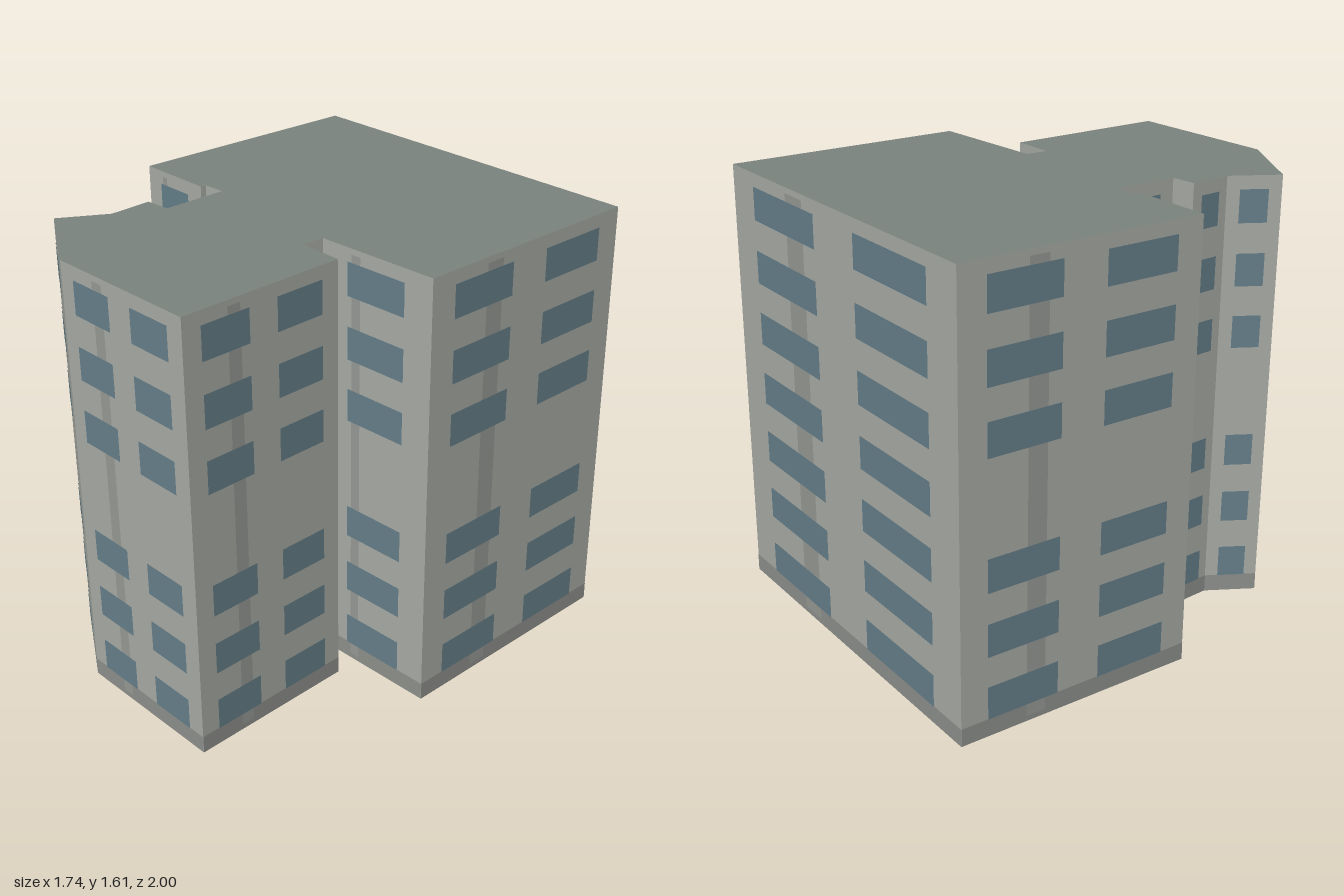
import * as THREE from 'three';

const HEIGHT = 1.61;

// Footprint corners [x, z], clockwise seen from above
const FOOTPRINT = [
  [-0.42, -1.0], [0.87, -0.37], [0.48, 0.46], [0.04, 0.27], [0.0, 0.345], [0.15, 0.42],
  [-0.11, 1.0], [-0.66, 0.745], [-0.87, 0.43], [-0.71, 0.32], [-0.65, 0.17], [-0.56, 0.205],
  [-0.46, -0.02], [-0.54, -0.055], [-0.55, -0.035], [-0.825, -0.17],
];

const paint = (color, side = THREE.FrontSide) =>
  new THREE.MeshStandardMaterial({ color, side });

export function createModel() {
  const building = new THREE.Group();
  building.name = 'apartmentBlock';

  const wallPaint = paint(0xa9aca6, THREE.DoubleSide);
  const roofPaint = paint(0x7c8480, THREE.DoubleSide);
  const plinthPaint = paint(0x8f918d);
  const stripPaint = paint(0x979a95);
  const glassPaint = paint(0x66808a);

  // Flat roof over the whole footprint
  const outline = new THREE.Shape(FOOTPRINT.map(([x, z]) => new THREE.Vector2(x, -z)));
  const roof = new THREE.Mesh(new THREE.ShapeGeometry(outline).rotateX(-Math.PI / 2), roofPaint);
  roof.position.y = HEIGHT;
  roof.name = 'roof';
  building.add(roof);

  FOOTPRINT.forEach((right, i) => {
    // Each facade has its origin at the lower left corner, seen from outside
    const left = FOOTPRINT[(i + 1) % FOOTPRINT.length];
    const dx = right[0] - left[0];
    const dz = right[1] - left[1];
    const length = Math.hypot(dx, dz);
    const facade = new THREE.Group();
    facade.name = `facade${i + 1}`;
    facade.position.set(left[0], 0, left[1]);
    facade.rotation.y = Math.atan2(-dz, dx);
    building.add(facade);

    // Rectangle from fractions u0..u1 of the width and heights y0..y1
    const panel = (name, material, u0, u1, y0, y1, offset) => {
      const mesh = new THREE.Mesh(
        new THREE.PlaneGeometry((u1 - u0) * length, y1 - y0), material);
      mesh.position.set((u0 + u1) / 2 * length, (y0 + y1) / 2, offset);
      mesh.name = name;
      facade.add(mesh);
    };

    panel('wall', wallPaint, 0, 1, 0, HEIGHT, 0);
    panel('plinth', plinthPaint, 0, 1, 0, 0.065, 0.001);
    if (length < 0.14) return;

    // Vertical strip, behind the windows
    if (length > 0.3) panel('verticalStrip', stripPaint, 0.275, 0.355, 0.02, 1.59, 0.002);

    // Window columns; only the back facade has a middle floor row
    const columns = length > 0.5 ? [[0.11, 0.41], [0.59, 0.89]] : [[0.24, 0.76]];
    for (let floor = 0; floor < 7; floor++) {
      if (floor === 3 && i !== 0) continue;
      const sill = 0.065 + floor * 0.2295;
      for (const [u0, u1] of columns)
        panel('window', glassPaint, u0, u1, sill, sill + 0.12, 0.003);
    }
  });

  return building;
}
